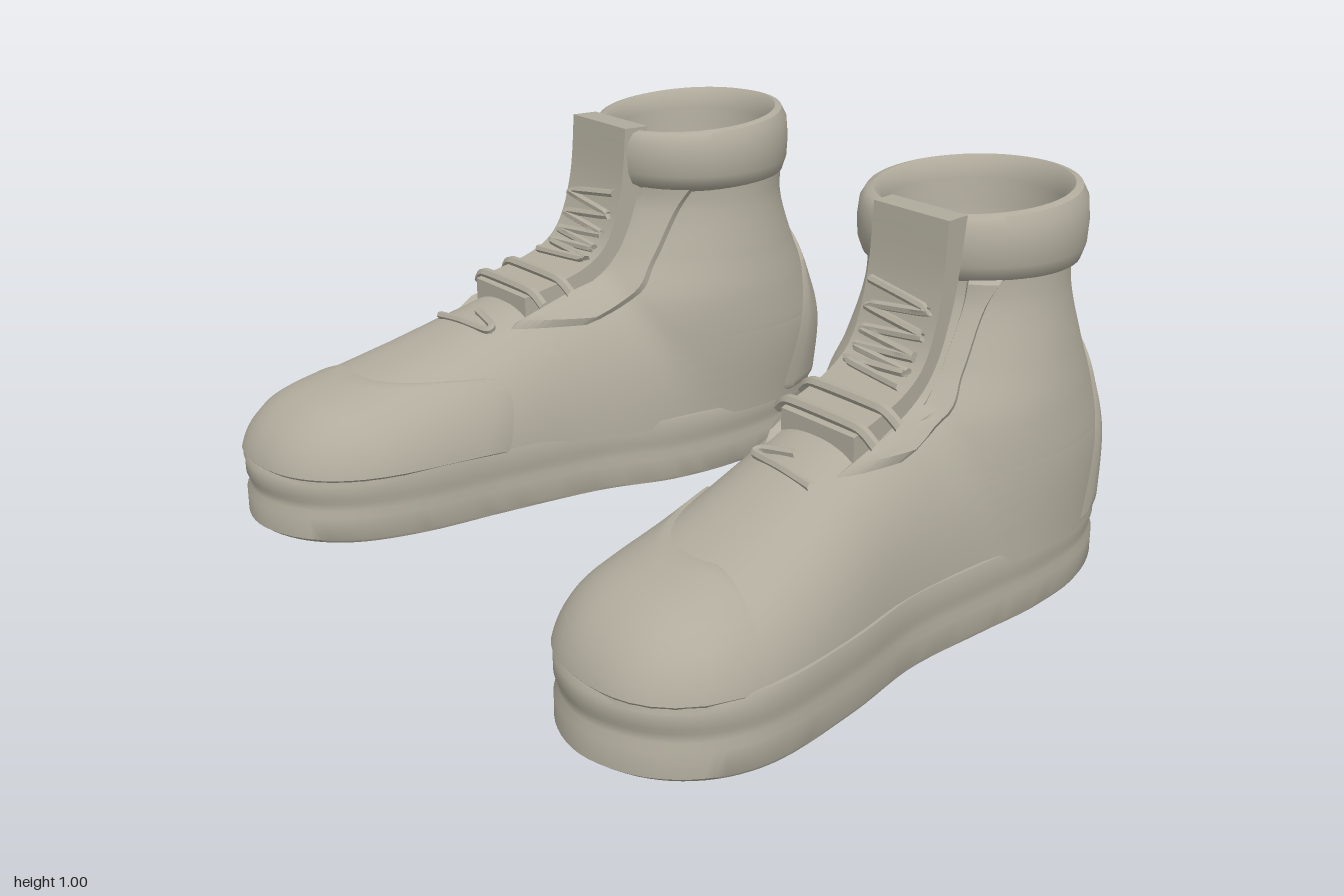
import * as THREE from 'three';
import { mergeVertices, toCreasedNormals } from 'three/addons/utils/BufferGeometryUtils.js';

const V = (x, y, z) => new THREE.Vector3(x, y, z);
const { lerp, clamp } = THREE.MathUtils;

// Smooth interpolation through [key, value] pairs
function table(...k) {
  const slope = i => {
    const a = k[Math.max(i - 1, 0)], b = k[Math.min(i + 1, k.length - 1)];
    return (b[1] - a[1]) / (b[0] - a[0]);
  };
  return x => {
    x = clamp(x, k[0][0], k[k.length - 1][0]);
    let i = 0;
    while (i < k.length - 2 && x > k[i + 1][0]) i++;
    const d = k[i + 1][0] - k[i][0], s = (x - k[i][0]) / d, s2 = s * s, s3 = s2 * s;
    return k[i][1] * (2 * s3 - 3 * s2 + 1) + slope(i) * d * (s3 - 2 * s2 + s)
      + k[i + 1][1] * (3 * s2 - 2 * s3) + slope(i + 1) * d * (s3 - s2);
  };
}

// Forefoot by z: centre line, half width, height
const footX = table([-0.4, 0.56], [-0.1, 0.59], [0.1, 0.63], [0.3, 0.67], [0.5, 0.70], [0.86, 0.73]);
const footW = table([-0.4, 0.31], [-0.1, 0.285], [0.1, 0.268], [0.3, 0.28], [0.5, 0.287], [0.86, 0.29]);
const footH = table([-0.4, 0.6], [-0.1, 0.565], [0.03, 0.54], [0.217, 0.475], [0.4, 0.41], [0.585, 0.36], [0.72, 0.357], [0.86, 0.35]);
// Ankle shaft by y: centre, half width, back, front
const shaftX = table([0.15, 0.57], [0.35, 0.56], [0.62, 0.55], [0.85, 0.54]);
const shaftW = table([0.15, 0.312], [0.35, 0.32], [0.5, 0.308], [0.62, 0.284], [0.75, 0.26], [0.85, 0.255]);
const shaftBack = table([0.15, -0.845], [0.35, -0.85], [0.5, -0.8], [0.62, -0.745], [0.75, -0.7], [0.85, -0.7]);
const shaftFront = table([0.15, 0], [0.35, -0.02], [0.5, -0.06], [0.62, -0.15], [0.75, -0.22], [0.85, -0.23]);
// Ray origin and direction stretch by y
const originZ = table([0.15, 0], [0.35, -0.15], [0.5, -0.35], [0.85, -0.45]);
const stretch = table([0.15, 0.9], [0.35, 0.8], [0.55, 0.45], [0.85, 0.33]);

// Smooth union of forefoot and shaft, negative inside
function field(x, y, z) {
  const p = 2.4;
  const foot = Math.abs((x - footX(z)) / footW(z)) ** p + (Math.max(0, y - 0.1) / (footH(z) - 0.1)) ** p
    + (Math.max(0, z - 0.5) / 0.355) ** p + (Math.max(0, -z - 0.1) / 0.5) ** p - 1;
  const b = shaftBack(y), f = shaftFront(y), m = (b + f) / 2;
  const shaft = ((x - shaftX(y) - (z - m) * 0.1) / shaftW(y)) ** 2 + ((z - m) / ((f - b) / 2)) ** 2 - 1;
  const h = Math.max(0.15 - Math.abs(foot - shaft), 0) / 0.15;
  return Math.min(foot, shaft) - h * h * 0.15 / 4;
}

// Point of the upper at height y and angle t (0 = toe, PI = heel)
function surface(y, t) {
  const x0 = y < 0.4 ? 0.59 : 0.56, z0 = originZ(y);
  const dx = Math.sin(t) * 0.33, dz = Math.cos(t) * stretch(y);
  let lo = 0, hi = 2;
  for (let i = 0; i < 24; i++) {
    const m = (lo + hi) / 2;
    if (field(x0 + dx * m, y, z0 + dz * m) < 0) lo = m; else hi = m;
  }
  return V(x0 + dx * lo, y, z0 + dz * lo);
}

// Skin over rows of points
function skin(rows) {
  const n = rows[0].length, index = [];
  for (let i = 0; i < rows.length - 1; i++)
    for (let j = 0; j < n - 1; j++) {
      const a = i * n + j, d = a + n;
      index.push(a, a + 1, d + 1, a, d + 1, d);
    }
  const g = new THREE.BufferGeometry().setFromPoints(rows.flat());
  g.setIndex(index);
  g.computeVertexNormals();
  return g;
}

const range = (n, f) => Array.from({ length: n + 1 }, (_, i) => f(i / n));

// Angle between a and b where test turns from true to false
function edge(a, b, test) {
  for (let i = 0; i < 20; i++) {
    const m = (a + b) / 2;
    if (test(m)) a = m; else b = m;
  }
  return a;
}

// Raised panel on the upper, its rim sunk in
function panel(y0, y1, span, raise, nu = 28, nv = 26) {
  const g = skin(range(nv, v => {
    const y = lerp(y0, y1, v), [a, b] = span(y);
    return range(nu, u => surface(y, lerp(a, b, u)));
  }));
  const p = g.attributes.position, n = g.attributes.normal;
  for (let i = 0; i < p.count; i++) {
    const u = i % (nu + 1), v = Math.floor(i / (nu + 1));
    const d = u === 0 || u === nu || v === 0 || v === nv ? -0.004 : raise;
    p.setXYZ(i, p.getX(i) + n.getX(i) * d, p.getY(i) + n.getY(i) * d, p.getZ(i) + n.getZ(i) * d);
  }
  return g;
}

function upper() {
  return skin(range(80, v => range(112, u => surface(lerp(0.16, 0.85, v), u * Math.PI * 2))));
}

function sole() {
  const outline = new THREE.CatmullRomCurve3([
    [0.725, 0.86], [0.87, 0.815], [0.96, 0.72], [0.998, 0.58], [0.957, 0.3], [0.895, 0.05], [0.88, -0.2],
    [0.87, -0.4], [0.82, -0.62], [0.7, -0.79], [0.53, -0.852], [0.39, -0.79], [0.3, -0.65], [0.262, -0.42],
    [0.28, -0.2], [0.345, 0], [0.39, 0.3], [0.42, 0.55], [0.48, 0.72], [0.58, 0.82],
  ].map(([x, z]) => V(x, 0, z)), true).getPoints(110);
  const profile = [[0, 0], [0, 0.985], [0.01, 1], [0.07, 1], [0.09, 0.99], [0.11, 0.99], [0.125, 1], [0.165, 1], [0.182, 0.985], [0.182, 0]];
  return skin(profile.map(([y, s]) => outline.map(p => V(0.62 + (p.x - 0.62) * s, y, p.z * s))));
}

// Padded collar with the inner wall and footbed
function collar() {
  const pts = [[0.235, 0.8], [0.262, 0.815], [0.274, 0.85], [0.277, 0.9], [0.272, 0.95], [0.258, 0.975],
    [0.24, 0.98], [0.225, 0.965], [0.217, 0.93], [0.213, 0.87], [0.205, 0.83], [0, 0.83]];
  const g = new THREE.LatheGeometry(pts.map(([r, y]) => new THREE.Vector2(r, y)), 56);
  const p = g.attributes.position;
  for (let i = 0; i < p.count; i++) {
    const y = p.getY(i), lift = Math.max(0, (y - 0.83) / 0.15);
    p.setY(i, y - lift * p.getZ(i) * 0.08);
  }
  return g.translate(0.54, 0, -0.46);
}

// Tongue: side profile extruded across, drifting outwards towards the toe
const tonguePath = new THREE.SplineCurve([[-0.185, 0.97], [-0.17, 0.8], [-0.125, 0.66], [-0.04, 0.59], [0.13, 0.54]]
  .map(a => new THREE.Vector2(...a)));
const tongueX = z => 0.6 + (z + 0.19) * 0.13;

function tongue() {
  const front = tonguePath.getPoints(24);
  const back = front.map((p, i) => new THREE.Vector2(p.x - 0.07 * (1 - i / 24), p.y - 0.06 * i / 24)).reverse();
  const g = new THREE.ExtrudeGeometry(new THREE.Shape([...front, ...back]), { depth: 0.24, bevelEnabled: false });
  g.rotateY(-Math.PI / 2).translate(0.12, 0, 0);
  const p = g.attributes.position;
  for (let i = 0; i < p.count; i++) p.setX(i, p.getX(i) + tongueX(p.getZ(i)));
  return g;
}

const tube = (pts, r) => new THREE.TubeGeometry(new THREE.CatmullRomCurve3(pts, false, 'catmullrom', 0.3), pts.length * 8, r, 6);

// Point on the tongue at s along it, dx across it
function onTongue(s, dx, lift = 0.008) {
  const p = tonguePath.getPoint(s), t = tonguePath.getTangent(s);
  return V(tongueX(p.x) + dx, p.y + t.x * lift, p.x - t.y * lift);
}

function bootParts() {
  const toeEdge = y => edge(0, Math.PI / 2, t => surface(y, t).z > 0.53);
  const heelLine = y => -0.55 - (y - 0.17) * 0.42;
  const stayLine = table([0.44, 0.08], [0.5, -0.12], [0.6, -0.21], [0.82, -0.33]);
  const heelSpan = y => [
    edge(Math.PI, Math.PI / 2, t => surface(y, t).z < heelLine(y)),
    edge(Math.PI, Math.PI * 1.5, t => surface(y, t).z < heelLine(y)),
  ];
  // Strip beside the tongue, s = 1 outer, -1 inner
  const staySpan = s => y => {
    const a = edge(0, Math.PI / 2, t => {
      const p = surface(y, s * t);
      return s * (p.x - tongueX(p.z)) < 0.115;
    });
    const b = Math.max(a + 0.03, edge(0, Math.PI / 2, t => surface(y, s * t).z > stayLine(y)));
    return s > 0 ? [a, b] : [-b, -a];
  };
  const parts = {
    sole: sole(),
    upper: upper(),
    collar: collar(),
    tongue: tongue(),
    toeCap: panel(0.17, 0.368, y => [-toeEdge(y), toeEdge(y)], 0.007),
    heelPanel: panel(0.17, 0.62, heelSpan, 0.009),
    outerEyestay: panel(0.46, 0.82, staySpan(1), 0.016, 12),
    innerEyestay: panel(0.46, 0.82, staySpan(-1), 0.016, 12),
    zigzagLace: tube(range(9, u => onTongue(lerp(0.27, 0.72, u), Math.round(u * 9) % 2 ? 0.1 : -0.1)), 0.011),
    toeLace: tube([[0.76, 0.255], [0.66, 0.25], [0.55, 0.235], [0.56, 0.215], [0.65, 0.2]]
      .map(([x, z]) => V(x, footH(z) + 0.004 - Math.abs(x - footX(z)) * 0.08, z)), 0.011),
  };
  [0.84, 0.95].forEach((s, i) => {
    parts['crossLace' + (i + 1)] = tube([onTongue(s, -0.16, -0.025), onTongue(s, -0.11), onTongue(s, 0.11), onTongue(s, 0.16, -0.025)], 0.014);
  });
  return parts;
}

export function createModel() {
  const model = new THREE.Group();
  model.name = 'pairOfBoots';
  const material = new THREE.MeshStandardMaterial({ color: 0xb0ab9c });
  material.name = 'warm grey';
  const parts = bootParts();
  for (const side of [1, -1]) {
    const boot = new THREE.Group();
    boot.name = side > 0 ? 'leftBoot' : 'rightBoot';
    for (const [name, source] of Object.entries(parts)) {
      let g = source.clone();
      g.deleteAttribute('uv');
      g.deleteAttribute('normal');
      g = mergeVertices(g, 1e-5);
      if (side < 0) {
        g.scale(-1, 1, 1);
        g.setIndex(Array.from(g.index.array).reverse());
      }
      g.computeVertexNormals();
      const mesh = new THREE.Mesh(toCreasedNormals(g, 0.75), material);
      mesh.name = name;
      boot.add(mesh);
    }
    model.add(boot);
  }
  return model;
}
